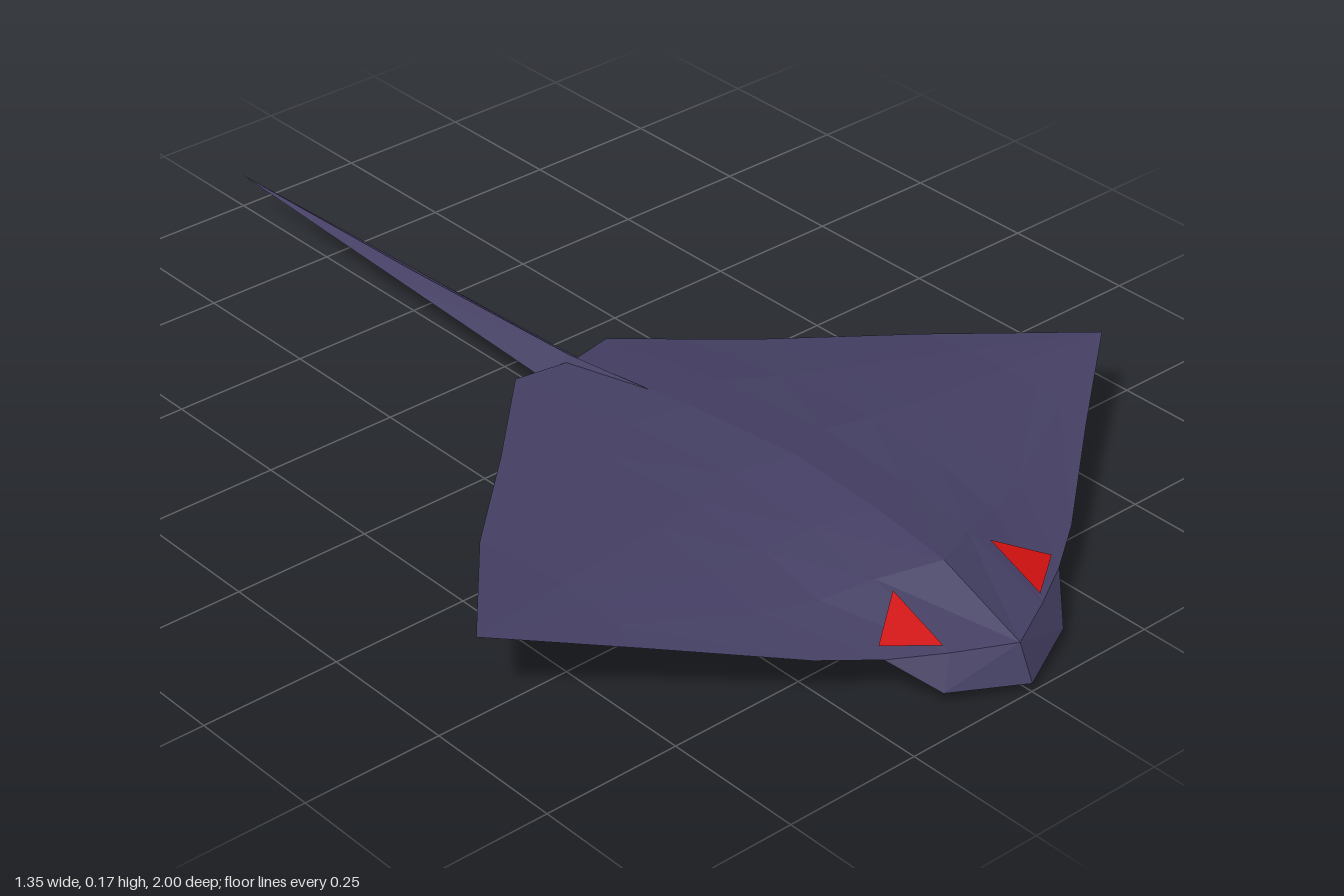
import * as THREE from 'three';

// Skin a grid of rows of [x, y, z] points with flat facets
function skin(name, rows, material, flip = false) {
  const pos = [];
  const tri = (a, b, c) => pos.push(...a, ...(flip ? c : b), ...(flip ? b : c));
  for (let i = 0; i < rows.length - 1; i++) {
    for (let j = 0; j < rows[i].length - 1; j++) {
      const a = rows[i][j], b = rows[i][j + 1], c = rows[i + 1][j + 1], d = rows[i + 1][j];
      // diagonals mirror across the centre line
      if (b[0] + c[0] + a[0] + d[0] > 0) { tri(a, b, c); tri(a, c, d); }
      else { tri(a, b, d); tri(b, c, d); }
    }
  }
  const g = new THREE.BufferGeometry();
  g.setAttribute('position', new THREE.Float32BufferAttribute(pos, 3));
  g.computeVertexNormals();
  const mesh = new THREE.Mesh(g, material);
  mesh.name = name;
  return mesh;
}

// Half row from the centre outwards -> full symmetric row
const mirrorRow = half => [...half.slice(1).reverse().map(([x, y, z]) => [-x, y, z]), ...half];

export function createModel() {
  const model = new THREE.Group();
  model.name = 'ray';
  const hide = new THREE.MeshStandardMaterial({ color: 0x443f63, flatShading: true, side: THREE.DoubleSide });
  const red = new THREE.MeshStandardMaterial({ color: 0xd01010, flatShading: true, side: THREE.DoubleSide });

  // Spanwise stations: x, leading z, trailing z, heights from front to back
  const chord = [0, 0.16, 0.3, 0.48, 0.72, 1];
  const top = [
    [0, 0.97, -0.07, [0.08, 0.145, 0.165, 0.175, 0.15, 0.1]],
    [0.1, 0.92, -0.1, [0.08, 0.13, 0.152, 0.162, 0.138, 0.09]],
    [0.19, 0.87, -0.01, [0.082, 0.117, 0.141, 0.156, 0.136, 0.095]],
    [0.28, 0.81, 0.08, [0.09, 0.116, 0.136, 0.152, 0.136, 0.1]],
    [0.48, 0.65, 0.27, [0.12, 0.13, 0.138, 0.142, 0.136, 0.118]],
    [0.675, 0.5, 0.5, [0.15, 0.15, 0.15, 0.15, 0.15, 0.15]],
  ];
  const under = [
    [0, 0.87, -0.07, [0.082, 0.085, 0.09, 0.09, 0.09, 0.1]],
    [0.1, 0.87, -0.1, [0.082, 0.082, 0.086, 0.088, 0.088, 0.09]],
    [0.19, 0.87, -0.01, [0.082, 0.08, 0.084, 0.086, 0.088, 0.095]],
    [0.28, 0.81, 0.08, [0.09, 0.09, 0.09, 0.091, 0.093, 0.1]],
    [0.48, 0.65, 0.27, [0.12, 0.108, 0.104, 0.103, 0.106, 0.118]],
    [0.675, 0.5, 0.5, [0.15, 0.15, 0.15, 0.15, 0.15, 0.15]],
  ];
  const wingRows = stations => chord.map((u, i) =>
    mirrorRow(stations.map(([x, z0, z1, y]) => [x, y[i], z0 + (z1 - z0) * u])));
  model.add(skin('upperWings', wingRows(top), hide, true));
  model.add(skin('lowerWings', wingRows(under), hide));

  // Blunt snout and the keel beneath, narrowing towards the tail
  const hull = [
    [[0, 0.08, 0.97], [0.1, 0.08, 0.92], [0.19, 0.082, 0.87]],
    [[0, 0.02, 1], [0.13, 0.03, 0.94], [0.19, 0.082, 0.87]],
    [[0, 0.005, 0.9], [0.125, 0.03, 0.85], [0.19, 0.08, 0.78]],
    [[0, 0.02, 0.45], [0.085, 0.045, 0.45], [0.16, 0.088, 0.45]],
    [[0, 0.035, -0.08], [0.04, 0.06, -0.08], [0.08, 0.091, -0.08]],
  ];
  model.add(skin('headAndKeel', hull.map(mirrorRow), hide));

  // Diamond-section whip tail: z, half width, top y, bottom y
  const tail = [
    [0.12, 0.05, 0.133, 0.04], [-0.08, 0.045, 0.107, 0.035],
    [-0.5, 0.024, 0.086, 0.054], [-1, 0, 0.07, 0.07],
  ].map(([z, w, t, b]) => {
    const m = (t + b) / 2;
    return [[0, t, z], [w, m, z], [0, b, z], [-w, m, z], [0, t, z]];
  });
  model.add(skin('tail', tail, hide, true));

  // Triangular eyes lying on the brow
  for (const s of [1, -1]) {
    const g = new THREE.BufferGeometry();
    const p = [s * 0.105, 0.134, 0.8, s * 0.105, 0.091, 0.91, s * 0.187, 0.098, 0.855];
    g.setAttribute('position', new THREE.Float32BufferAttribute(p, 3));
    if (s < 0) g.setIndex([0, 2, 1]);
    g.computeVertexNormals();
    const eye = new THREE.Mesh(g, red);
    eye.name = s > 0 ? 'leftEye' : 'rightEye';
    model.add(eye);
  }
  return model;
}
